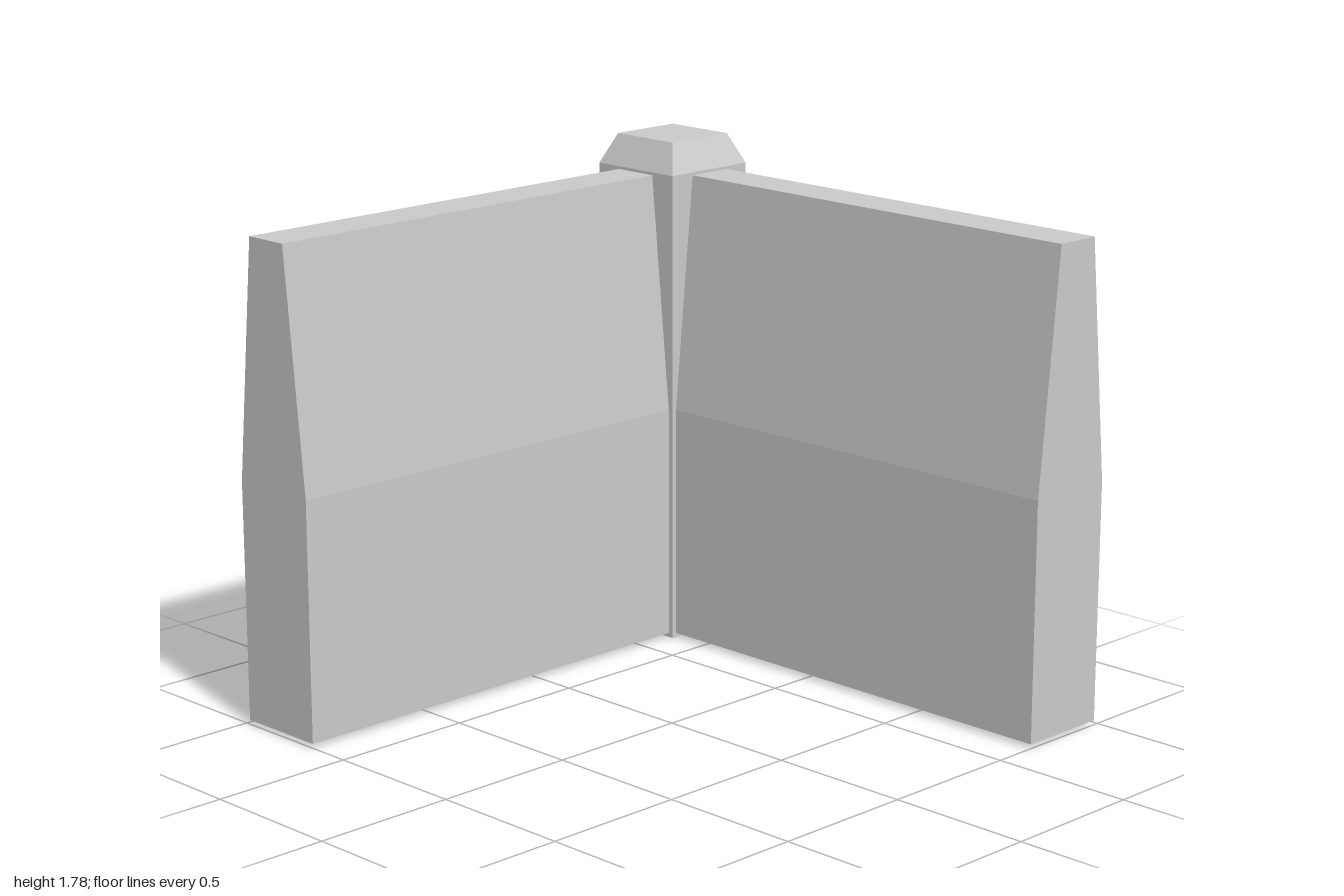
import * as THREE from 'three';

const CENTRE = 0.818; // corner post axis: x = +CENTRE, z = -CENTRE

export function createModel() {
  const group = new THREE.Group();
  const material = new THREE.MeshStandardMaterial({ color: 0xcccccc, flatShading: true });

  // Square corner post with a chamfered cap
  const corner = Math.SQRT2;
  const profile = [
    [0, 0], [0.182 * corner, 0], [0.182 * corner, 1.675], [0.135 * corner, 1.78], [0, 1.78],
  ].map(([x, y]) => new THREE.Vector2(x, y));
  const post = new THREE.Mesh(new THREE.LatheGeometry(profile, 4, Math.PI / 4), material);
  post.name = 'cornerPost';
  post.position.set(CENTRE, 0, -CENTRE);
  group.add(post);

  // Wall section: straight lower half, tapered upper half
  const section = new THREE.Shape([
    [-0.164, 0.015], [0.164, 0.015], [0.164, 0.84], [0.083, 1.665], [-0.083, 1.665], [-0.164, 0.84],
  ].map(([x, y]) => new THREE.Vector2(x, y)));
  const start = 0.12; // the wall begins just inside the post
  const wallGeometry = new THREE.ExtrudeGeometry(section, {
    depth: 1 + CENTRE - start, bevelEnabled: false,
  }).translate(0, 0, start);

  // Two identical walls at right angles
  for (const [name, angle] of [['frontWall', 0], ['sideWall', -Math.PI / 2]]) {
    const wall = new THREE.Mesh(wallGeometry, material);
    wall.name = name;
    wall.position.copy(post.position);
    wall.rotation.y = angle;
    group.add(wall);
  }

  return group;
}
